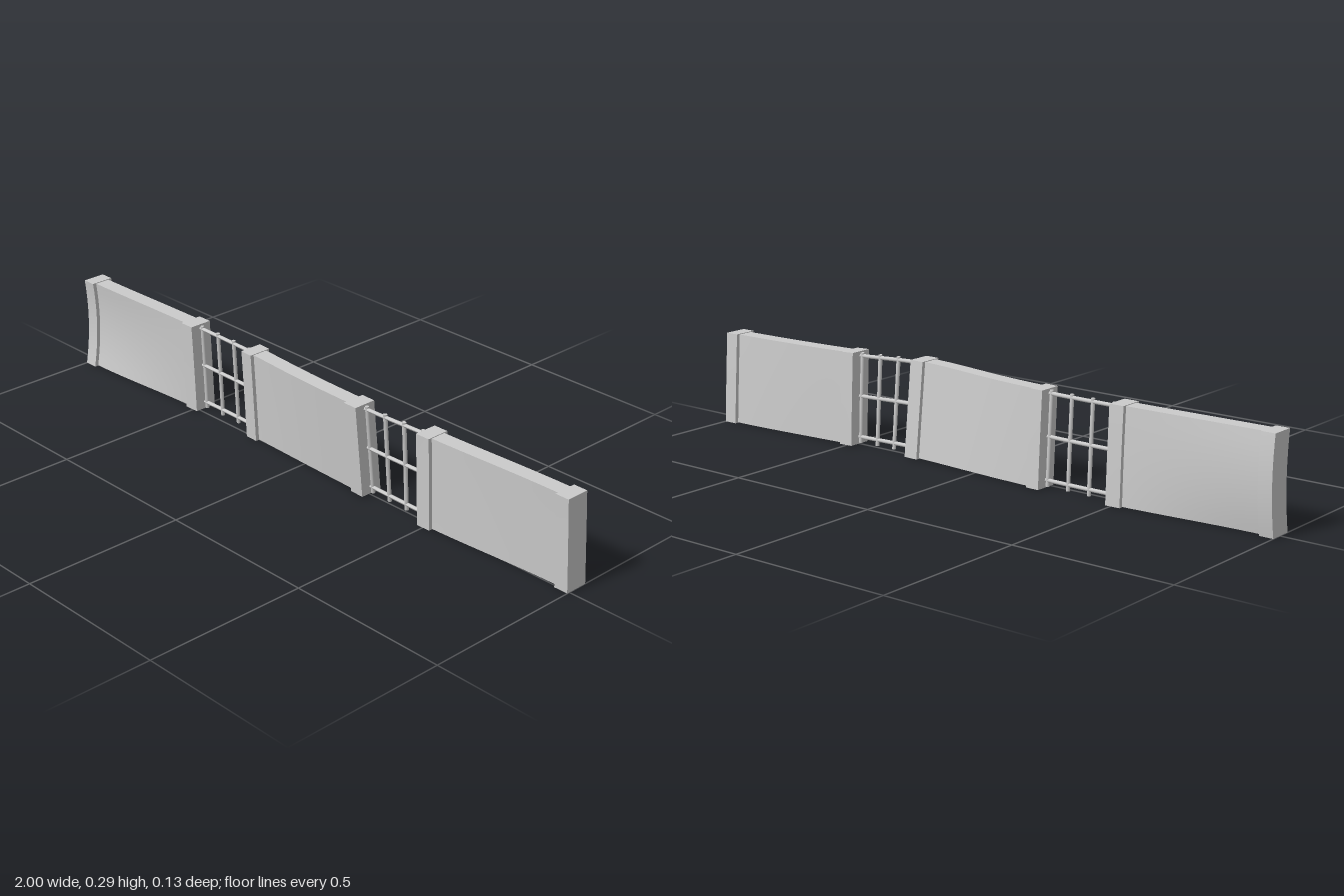
import * as THREE from 'three';

const H = 0.286;
const material = new THREE.MeshStandardMaterial({ color: 0xcccccc });

// Depth of the wall's centre line at each post: [x, foot, middle, top]
const knots = [
  [-0.98, 0.003, -0.013, -0.005],
  [-0.506, -0.024, -0.019, -0.012],
  [-0.228, -0.023, -0.015, -0.006],
  [0.241, -0.004, 0.012, 0.028],
  [0.502, -0.004, 0.002, 0.009],
  [0.978, -0.028, -0.019, -0.009],
];

// Smooth curve through one column of the knots
function along(x, c) {
  const last = knots.length - 1;
  let i = 0;
  while (i < last - 1 && x > knots[i + 1][0]) i++;
  const slope = (k) => {
    const a = knots[Math.max(k - 1, 0)], b = knots[Math.min(k + 1, last)];
    return k === 0 || k === last ? 0 : (b[c] - a[c]) / (b[0] - a[0]);
  };
  const a = knots[i], b = knots[i + 1], d = b[0] - a[0];
  const t = THREE.MathUtils.clamp((x - a[0]) / d, 0, 1);
  const t2 = t * t, t3 = t2 * t;
  return (2 * t3 - 3 * t2 + 1) * a[c] + (t3 - 2 * t2 + t) * d * slope(i)
    + (3 * t2 - 2 * t3) * b[c] + (t3 - t2) * d * slope(i + 1);
}

// Bend a straight geometry into the wavy, leaning wall
function bend(geometry) {
  const p = geometry.attributes.position;
  for (let i = 0; i < p.count; i++) {
    const x = p.getX(i), y = p.getY(i), v = y / H;
    const lean = (1 - v) * (1 - 2 * v) * along(x, 1)
      + 4 * v * (1 - v) * along(x, 2) + v * (2 * v - 1) * along(x, 3);
    const lift = Math.exp(-(((x - 0.24) / 0.22) ** 2));
    p.setY(i, y + lift * (0.004 + 0.005 * v));
    p.setZ(i, p.getZ(i) + lean);
  }
  geometry.computeVertexNormals();
  return geometry;
}

export function createModel() {
  const group = new THREE.Group();
  const add = (name, geometry) => {
    const mesh = new THREE.Mesh(bend(geometry), material);
    mesh.name = name;
    group.add(mesh);
  };
  const block = (name, x0, x1, y0, y1, depth, segX) =>
    add(name, new THREE.BoxGeometry(x1 - x0, y1 - y0, depth, segX, 10, 1)
      .translate((x0 + x1) / 2, (y0 + y1) / 2, 0));

  // Posts
  const posts = [[-1, -0.957], [-0.53, -0.483], [-0.25, -0.207],
    [0.218, 0.265], [0.48, 0.525], [0.956, 1]];
  posts.forEach(([a, b], i) => block(`post${i + 1}`, a, b, 0, H, 0.073, 2));

  // Solid panels between alternate pairs of posts
  for (const i of [0, 2, 4]) {
    block(`panel${i / 2 + 1}`, posts[i][1], posts[i + 1][0], 0.001, H - 0.002, 0.049, 20);
  }

  // Open grilles in the two gaps
  const r = 0.006;
  for (const i of [1, 3]) {
    const x0 = posts[i][1], x1 = posts[i + 1][0];
    for (const y of [0.022, 0.148, 0.272]) {
      add('grilleRail', new THREE.CylinderGeometry(r, r, x1 - x0, 8, 8)
        .rotateZ(Math.PI / 2).translate((x0 + x1) / 2, y, 0));
    }
    for (let k = 0; k < 4; k++) {
      const x = THREE.MathUtils.lerp(x0 + 0.008, x1 - 0.007, k / 3);
      add('grilleBar', new THREE.CylinderGeometry(r, r, H - 0.008, 8, 10)
        .translate(x, H / 2, 0));
    }
  }
  return group;
}
